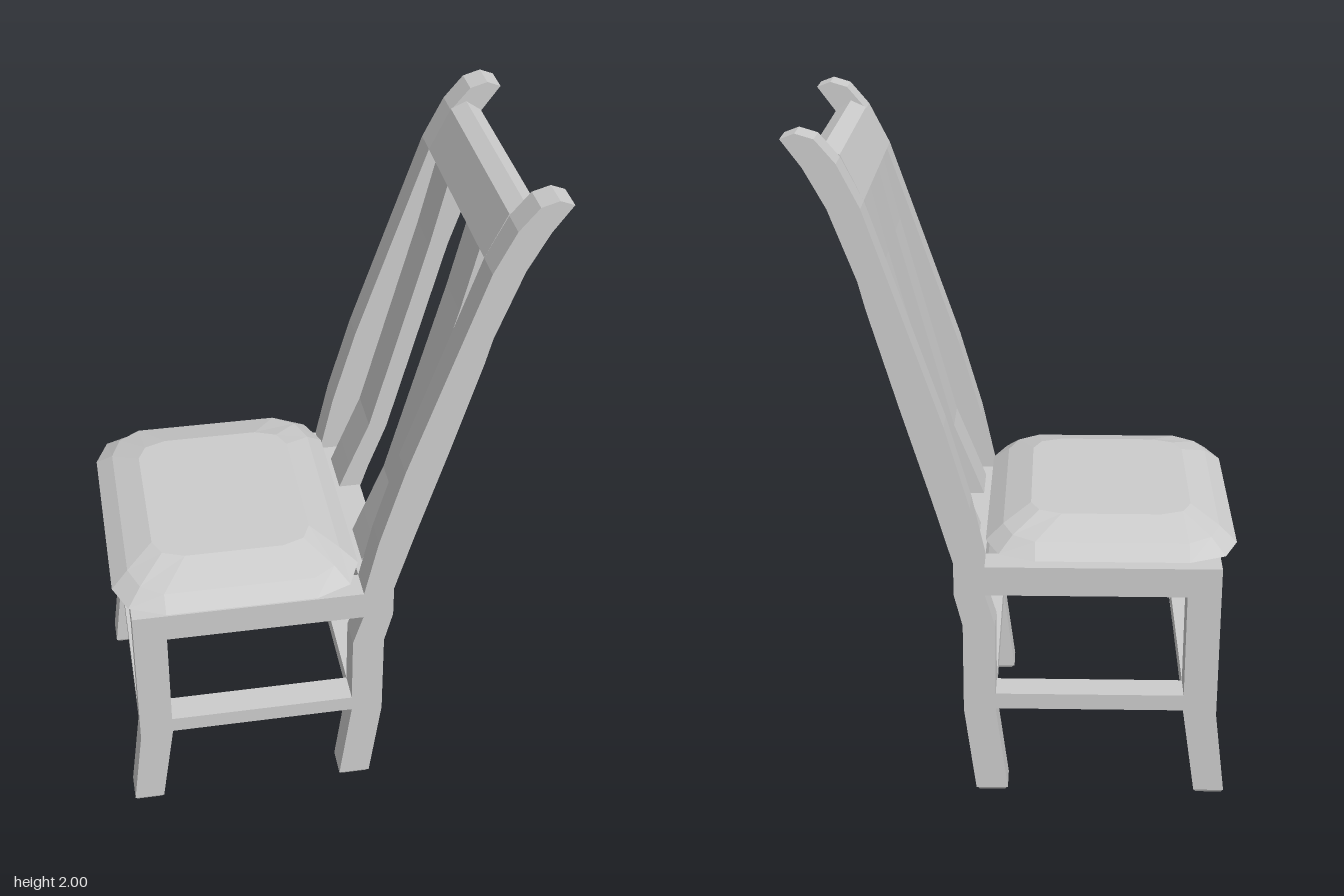
import * as THREE from 'three';

const material = new THREE.MeshStandardMaterial({ color: 0xcccccc, flatShading: true });

export function createModel() {
  const chair = new THREE.Group();
  chair.name = 'chair';

  const add = (name, geometry) => {
    const mesh = new THREE.Mesh(geometry, material);
    mesh.name = name;
    chair.add(mesh);
    return mesh;
  };

  // Side profile in x/y, extruded from z0 to z1
  const profile = (name, points, z0, z1) => {
    const shape = new THREE.Shape(points.map(([x, y]) => new THREE.Vector2(x, y)));
    const geometry = new THREE.ExtrudeGeometry(shape, { depth: z1 - z0, bevelEnabled: false });
    add(name, geometry.translate(0, 0, z0));
  };

  // Box given by its limits on each axis
  const bar = (name, x0, x1, y0, y1, z0, z1) => {
    const geometry = new THREE.BoxGeometry(x1 - x0, y1 - y0, z1 - z0);
    add(name, geometry.translate((x0 + x1) / 2, (y0 + y1) / 2, (z0 + z1) / 2));
  };

  const inner = 0.325, outer = 0.415;
  const frontLeg = [
    [-0.615, 0.01], [-0.525, 0.01], [-0.485, 0.28], [-0.485, 0.75], [-0.583, 0.75], [-0.583, 0.27],
  ];
  const backLeg = [
    [0.035, 0.01], [0.13, 0.01], [0.165, 0.28], [0.165, 0.56], [0.19, 0.66], [0.19, 0.76],
    [0.245, 0.95], [0.33, 1.23], [0.415, 1.52], [0.435, 1.6], [0.51, 1.8], [0.57, 1.91],
    [0.625, 1.985], [0.585, 2], [0.535, 1.985], [0.48, 1.92], [0.42, 1.8], [0.325, 1.52],
    [0.21, 1.18], [0.14, 0.935], [0.1, 0.75], [0.1, 0.66], [0.07, 0.56], [0.07, 0.28],
  ];
  const slat = [
    [0.12, 0.74], [0.19, 0.74], [0.215, 0.82], [0.27, 0.97], [0.435, 1.6], [0.505, 1.81],
    [0.43, 1.81], [0.38, 1.6], [0.215, 0.98], [0.155, 0.83],
  ];

  for (const [side, s] of [['left', 1], ['right', -1]]) {
    const span = (a, b) => (s > 0 ? [a, b] : [-b, -a]);
    const z = span(inner, outer);

    // Legs, the back ones running up into the back posts
    profile(side + 'FrontLeg', frontLeg, ...z);
    profile(side + 'BackLegAndPost', backLeg, ...z);

    // Tapered foot pads
    for (const [end, x] of [['Front', -0.57], ['Back', 0.0825]]) {
      const pad = new THREE.CylinderGeometry(0.062, 0.054, 0.01, 4).rotateY(Math.PI / 4);
      add(side + end + 'Foot', pad.translate(x, 0.005, s * 0.37));
    }

    // Side rail, side stretcher and back slat
    bar(side + 'SeatRail', -0.485, 0.1, 0.66, 0.75, ...z);
    bar(side + 'Stretcher', -0.485, 0.07, 0.285, 0.335, ...z);
    profile(side + 'BackSlat', slat, ...span(0.11, 0.26));
  }

  // Cross members between the two sides
  bar('frontSeatRail', -0.583, -0.485, 0.66, 0.75, -inner, inner);
  bar('backSeatRail', 0.1, 0.19, 0.66, 0.75, -inner, inner);
  bar('frontStretcher', -0.583, -0.485, 0.285, 0.335, -inner, inner);
  bar('backStretcher', 0.07, 0.165, 0.285, 0.335, -inner, inner);
  profile('topRail',
    [[0.42, 1.8], [0.51, 1.8], [0.57, 1.915], [0.525, 1.945], [0.48, 1.925]], -inner, inner);

  add('seatCushion', cushionGeometry()).position.x = -0.265;
  return chair;
}

// Faceted cushion from stacked rings; each ring mirrors three corner points
function cushionGeometry() {
  const rings = [
    { y: 0.755, corner: [[0.29, 0.25], [0.255, 0.33], [0.18, 0.365]] },
    { y: 0.79, corner: [[0.365, 0.315], [0.325, 0.41], [0.22, 0.455]] },
    { y: 0.83, corner: [[0.315, 0.285], [0.285, 0.365], [0.22, 0.41]] },
    { y: 0.865, corner: [[0.235, 0.21], [0.21, 0.265], [0.145, 0.29]] },
  ];
  const positions = [], index = [], n = 12;
  for (const { y, corner } of rings) {
    const back = [...corner].reverse();
    const loop = [
      ...corner,
      ...back.map(([x, z]) => [-x, z]),
      ...corner.map(([x, z]) => [-x, -z]),
      ...back.map(([x, z]) => [x, -z]),
    ];
    for (const [x, z] of loop) positions.push(x, y, z);
  }
  // Walls between rings
  for (let r = 0; r < rings.length - 1; r++) {
    for (let i = 0; i < n; i++) {
      const a = r * n + i, b = r * n + ((i + 1) % n);
      index.push(a, a + n, b, b, a + n, b + n);
    }
  }
  // Flat underside and top
  const top = (rings.length - 1) * n;
  for (let i = 1; i < n - 1; i++) {
    index.push(0, i, i + 1, top, top + i + 1, top + i);
  }
  const geometry = new THREE.BufferGeometry();
  geometry.setAttribute('position', new THREE.Float32BufferAttribute(positions, 3));
  geometry.setIndex(index);
  const flat = geometry.toNonIndexed();
  flat.computeVertexNormals();
  return flat;
}
